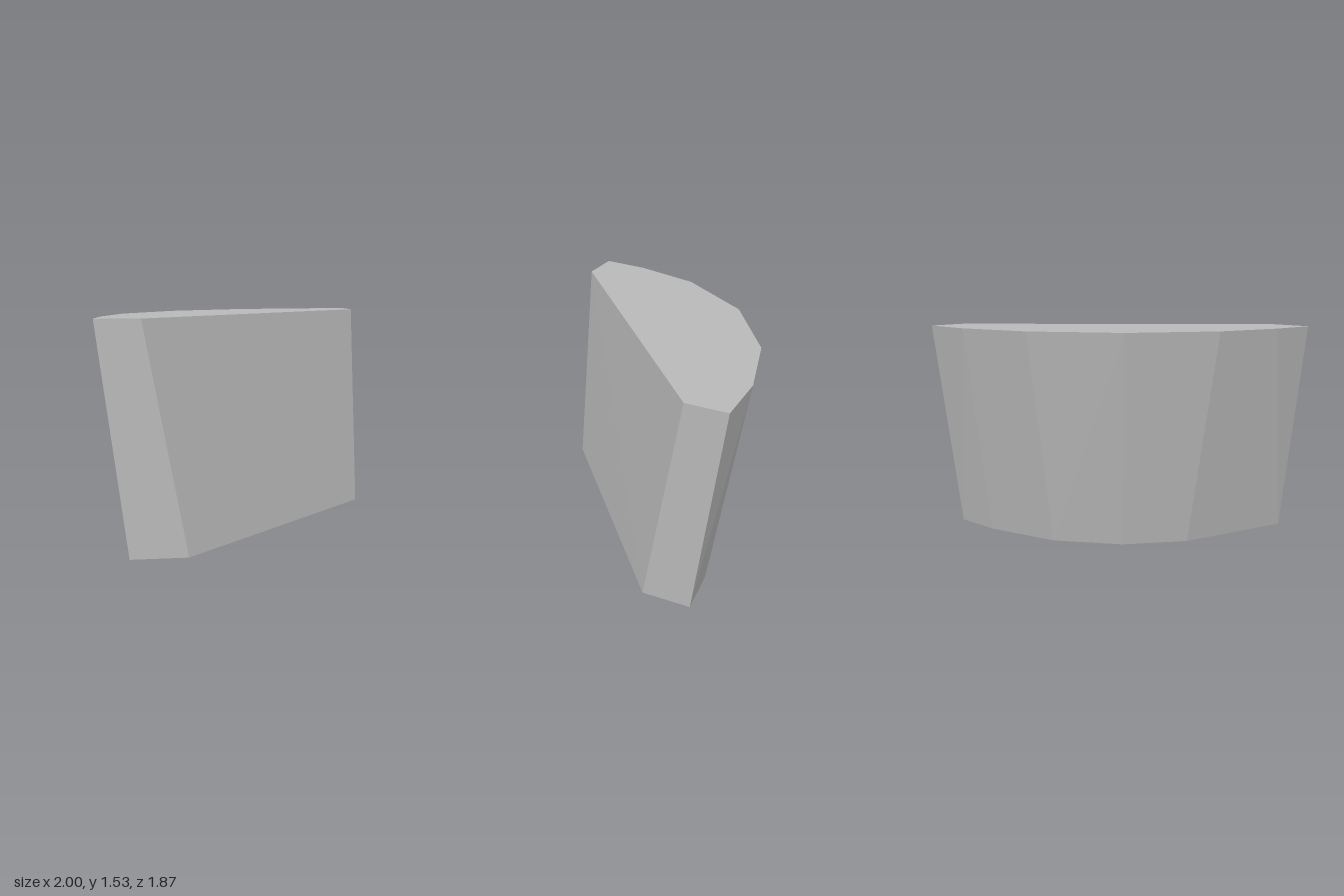
import * as THREE from 'three';
import { ConvexGeometry } from 'three/addons/geometries/ConvexGeometry.js';

const HEIGHT = 1.53;

// Upper outline as [x, z]: straight front edge, cut ends, curved back
const TOP = [
  [-1, 0.93], [-0.71, 0.93], [1, -0.65], [1, -0.935], [0.62, -0.935],
  [0.09, -0.8], [-0.47, -0.43], [-0.84, 0.11], [-0.97, 0.59],
];

// Smaller lower outline as [x, z, lift]; one back corner sits slightly high
const BOTTOM = [
  [-0.81, 0.93], [-0.43, 0.93], [1, -0.37], [1, -0.72, 0.008],
  [0.67, -0.69], [0.13, -0.55], [-0.29, -0.26], [-0.57, 0.12],
];

export function createModel() {
  const group = new THREE.Group();
  group.name = 'taperedBlock';

  const grey = new THREE.MeshStandardMaterial({ color: 0xb8b8b8 });
  grey.name = 'plain grey';

  // Solid faceted block spanning the two outlines
  const points = [
    ...TOP.map(([x, z]) => new THREE.Vector3(x, HEIGHT, z)),
    ...BOTTOM.map(([x, z, lift = 0]) => new THREE.Vector3(x, lift, z)),
  ];
  const block = new THREE.Mesh(new ConvexGeometry(points), grey);
  block.name = 'block';
  group.add(block);

  return group;
}
